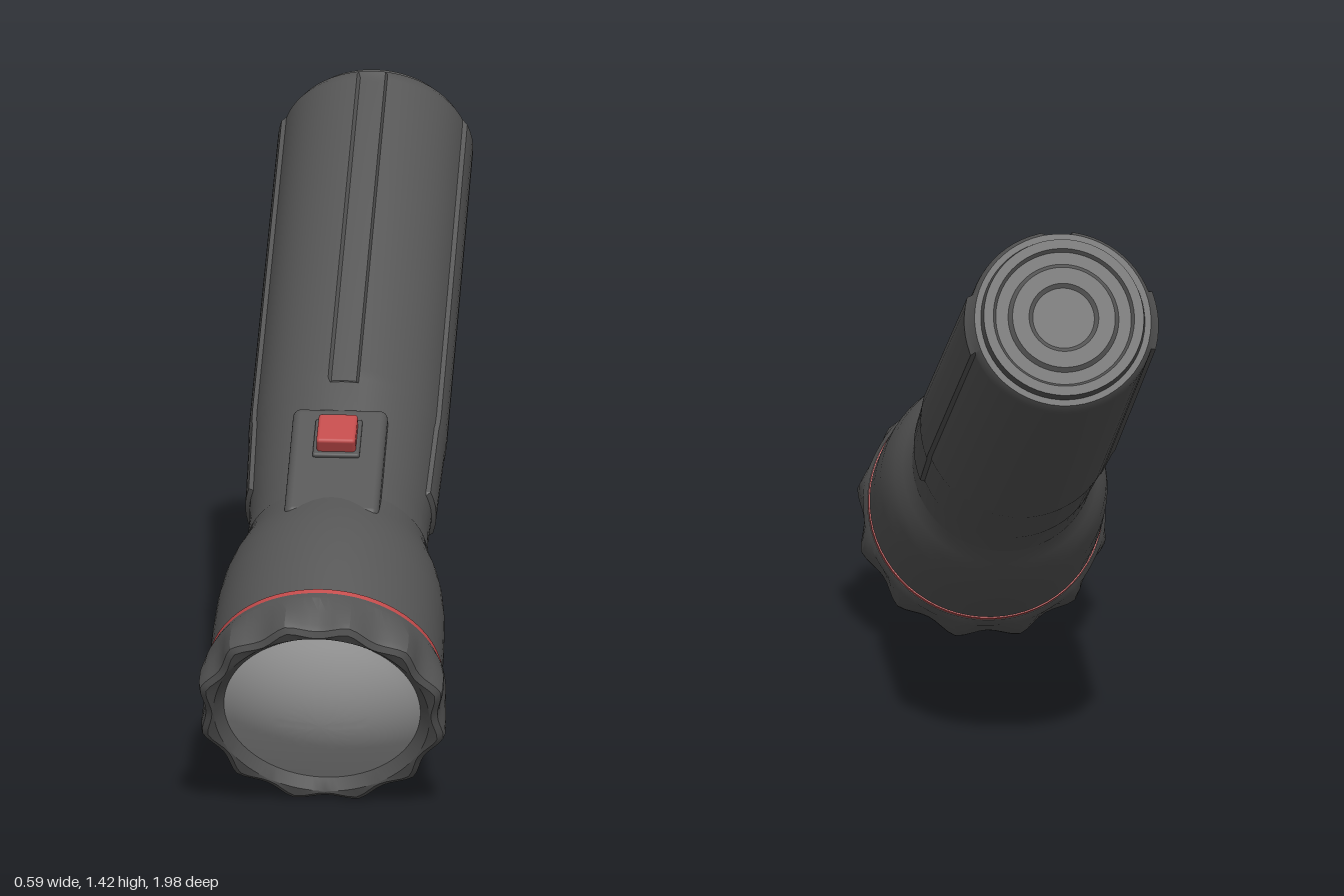
import * as THREE from 'three';
import { toCreasedNormals } from 'three/addons/utils/BufferGeometryUtils.js';
import { RoundedBoxGeometry } from 'three/addons/geometries/RoundedBoxGeometry.js';

const TILT = THREE.MathUtils.degToRad(29.7);
const dark = new THREE.MeshStandardMaterial({ color: 0x555555 });
const red = new THREE.MeshStandardMaterial({ color: 0xc04a4a });
const glass = new THREE.MeshStandardMaterial({ color: 0xaaaaaa });

// Loft of rings along z; rows are [z, radius], angle 0 points up, radius may vary by a rule
function loft(rows, angles, rule = (z, r) => r) {
  const pos = [], idx = [], n = angles.length;
  for (const [z, r] of rows) {
    for (const a of angles) {
      const q = rule(z, r, a);
      pos.push(q * Math.sin(a), q * Math.cos(a), z);
    }
  }
  for (let i = 0; i < rows.length - 1; i++) {
    for (let j = 0; j < n; j++) {
      const k = (j + 1) % n;
      const a = i * n + j, b = i * n + k, c = a + n, d = b + n;
      if (rows[i + 1][1] > 0) idx.push(a, c, d);
      if (rows[i][1] > 0) idx.push(a, d, b);
    }
  }
  const g = new THREE.BufferGeometry();
  g.setAttribute('position', new THREE.Float32BufferAttribute(pos, 3));
  g.setIndex(idx);
  return toCreasedNormals(g, 0.5);
}

const circle = (n) => Array.from({ length: n }, (_, i) => (i / n) * Math.PI * 2);

export function createModel() {
  const model = new THREE.Group();
  model.name = 'flashlight';
  const torch = new THREE.Group();
  torch.name = 'tiltedTorch';
  torch.rotation.x = TILT;
  torch.position.y = 0.752;
  model.add(torch);

  const add = (name, geometry, material, x = 0, y = 0, z = 0) => {
    const m = new THREE.Mesh(geometry, material);
    m.name = name;
    m.position.set(x, y, z);
    torch.add(m);
    return m;
  };

  // Barrel with a groove on top and a raised grip strip on each side
  const GROOVE = 0.14, STRIP = 0.31, EDGE = 0.025;
  const angles = circle(64);
  for (const [centre, half] of [[0, GROOVE], [Math.PI / 2, STRIP], [Math.PI * 1.5, STRIP]]) {
    for (const s of [-1, 1]) {
      for (const h of [half, half + EDGE]) {
        angles.push((centre + s * h + Math.PI * 2) % (Math.PI * 2));
      }
    }
  }
  angles.sort((a, b) => a - b);
  const inside = (a, centre, half) => {
    const d = Math.abs(Math.atan2(Math.sin(a - centre), Math.cos(a - centre)));
    return d < half + 0.001;
  };
  const barrelRule = (z, r, a) => {
    if (z > -0.99 && z < 0.051 && inside(a, 0, GROOVE)) return r - 0.013;
    if (z > -0.975 && z < 0.281 &&
      (inside(a, Math.PI / 2, STRIP) || inside(a, Math.PI * 1.5, STRIP))) return r + 0.01;
    return r;
  };
  add('barrel', loft([
    [-1.022, 0], [-1.022, 0.075], [-1.03, 0.085], [-1.03, 0.125], [-1.02, 0.135],
    [-1.02, 0.165], [-1.03, 0.172], [-1.03, 0.195], [-1.005, 0.2], [-1.005, 0.215],
    [-0.985, 0.226], [-0.97, 0.227], [-0.5, 0.229], [0.02, 0.231], [0.05, 0.23],
    [0.065, 0.228], [0.28, 0.222], [0.288, 0.221], [0.36, 0.218], [0.42, 0.221],
  ], angles, barrelRule), dark);

  // Flared head
  add('head', loft([
    [0.4, 0.215], [0.44, 0.224], [0.48, 0.239], [0.52, 0.254], [0.57, 0.267],
    [0.64, 0.277], [0.74, 0.282], [0.84, 0.283],
  ], circle(64)), dark);

  // Thin coloured seal between head and bezel
  add('sealRing', loft([
    [0.828, 0.275], [0.828, 0.286], [0.842, 0.286], [0.842, 0.275],
  ], circle(64)), red);

  // Bezel with twelve scallops that deepen towards the front
  const bezelRule = (z, r, a) => {
    if (r < 0.265) return r;
    const depth = 0.022 * THREE.MathUtils.smoothstep(z, 0.85, 0.93);
    return r - depth * Math.pow(Math.abs(Math.cos(a * 6)), 1.5);
  };
  add('bezel', loft([
    [0.842, 0.27], [0.842, 0.287], [0.865, 0.297], [0.91, 0.306], [0.95, 0.307],
    [0.968, 0.303], [0.977, 0.288], [0.975, 0.262], [0.95, 0.238], [0.93, 0.236],
  ], circle(96), bezelRule), dark);

  // Domed lens
  const dome = [];
  for (let i = 0; i <= 10; i++) {
    const k = i / 10;
    dome.push([0.95 + 0.065 * (1 - (1 - k) ** 2), 0.24 * (1 - k)]);
  }
  add('lens', loft(dome, circle(64)), glass);

  // Switch platform, its frame and the button
  add('switchPlatform', new RoundedBoxGeometry(0.23, 0.1, 0.36, 3, 0.02), dark, 0, 0.182, 0.335);
  add('switchFrame', new RoundedBoxGeometry(0.114, 0.03, 0.125, 2, 0.006), dark, 0, 0.226, 0.265);
  const button = add('switchButton', new RoundedBoxGeometry(0.095, 0.05, 0.1, 2, 0.008), red, 0, 0.248, 0.265);
  button.rotation.x = -0.06;

  return model;
}
